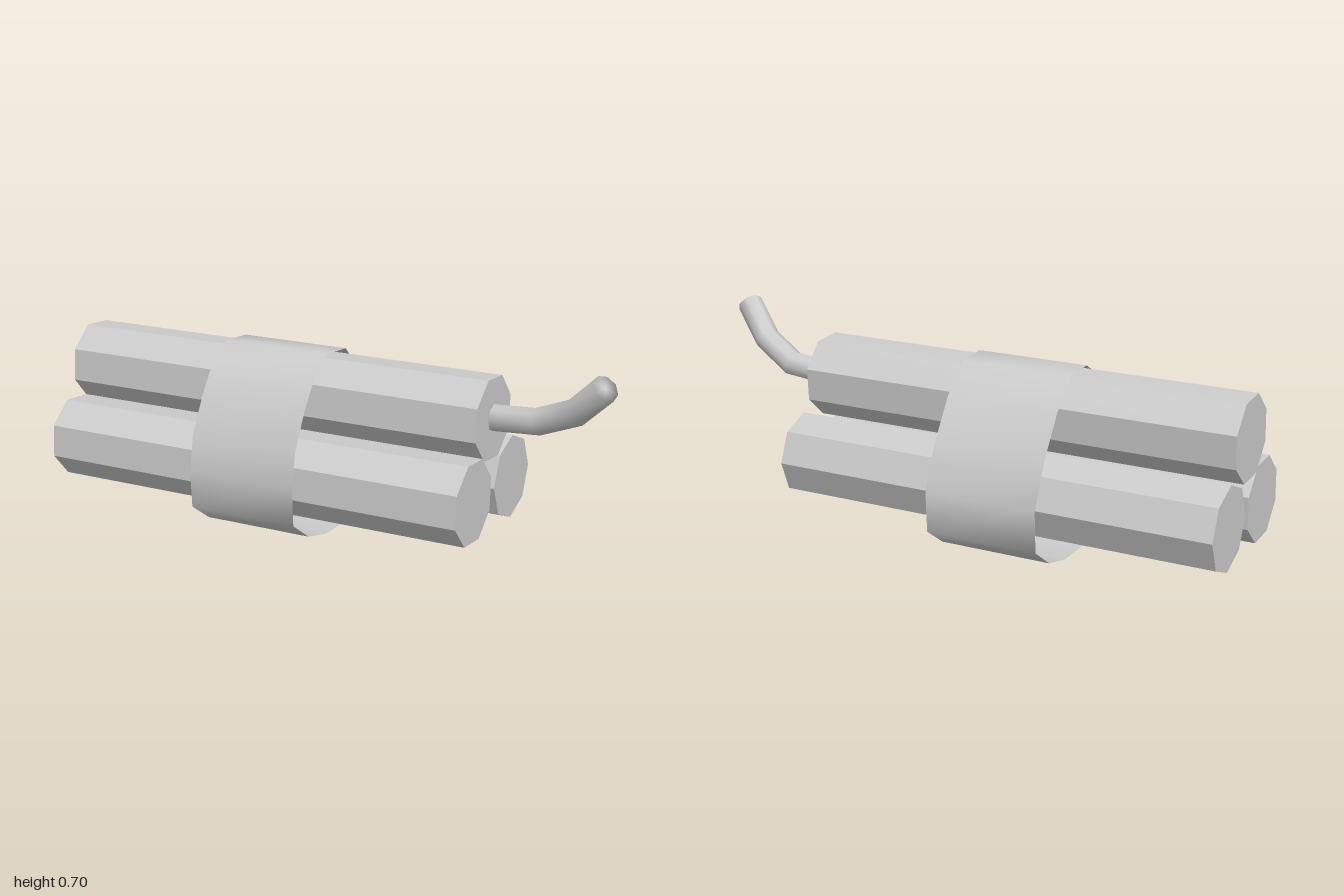
import * as THREE from 'three';
import { mergeGeometries, mergeVertices } from 'three/addons/utils/BufferGeometryUtils.js';

const grey = (opts = {}) => new THREE.MeshStandardMaterial({ color: 0xcccccc, ...opts });

// Octagonal stick lying along x; twist turns its corners in the z-y plane
function makeStick(name, y, z, twist) {
  const r = 0.144, x0 = -1, x1 = 0.56;
  const g = new THREE.CylinderGeometry(r, r, x1 - x0, 8, 1, false, -twist);
  g.rotateZ(-Math.PI / 2);
  const mesh = new THREE.Mesh(g, grey({ flatShading: true }));
  mesh.name = name;
  mesh.position.set((x0 + x1) / 2, y, z);
  return mesh;
}

// Thin open band: a strip whose rows follow a rounded triangle of [z, y] points,
// from the bottom up the back, over the top and down the front
function makeBand() {
  const loop = [
    [0, 0], [-0.08, 0], [-0.2, 0.03], [-0.3, 0.1], [-0.31, 0.24], [-0.25, 0.385],
    [-0.16, 0.525], [-0.06, 0.622], [0.06, 0.63], [0.15, 0.575], [0.22, 0.475],
    [0.285, 0.35], [0.308, 0.23], [0.3, 0.1], [0.2, 0.03], [0.08, 0], [0, 0],
  ];
  const g = new THREE.PlaneGeometry(0.396, 1, 1, loop.length - 1);
  const p = g.attributes.position;
  for (let i = 0; i < p.count; i++) {
    const [z, y] = loop[Math.floor(i / 2)];
    p.setXYZ(i, p.getX(i) - 0.22, y, z);
  }
  g.computeVertexNormals();
  const mesh = new THREE.Mesh(g, grey({ side: THREE.DoubleSide }));
  mesh.name = 'band';
  return mesh;
}

// Bent fuse with a closed tip, shaded smooth all over
function makeFuse() {
  const path = new THREE.CatmullRomCurve3([
    new THREE.Vector3(0.55, 0.482, 0.017),
    new THREE.Vector3(0.71, 0.493, 0.026),
    new THREE.Vector3(0.835, 0.542, 0.066),
    new THREE.Vector3(0.97, 0.663, 0.132),
  ]);
  const segments = 3, radius = 0.045;
  const tube = new THREE.TubeGeometry(path, segments, radius, 8);
  const { normals, binormals, tangents } = path.computeFrenetFrames(segments);
  const tip = new THREE.CircleGeometry(radius, 8);
  tip.applyMatrix4(new THREE.Matrix4()
    .makeBasis(normals[segments], binormals[segments], tangents[segments])
    .setPosition(path.getPointAt(1)));
  const joined = mergeGeometries([tube, tip]);
  joined.deleteAttribute('normal');
  joined.deleteAttribute('uv');
  const g = mergeVertices(joined);
  g.computeVertexNormals();
  const mesh = new THREE.Mesh(g, grey());
  mesh.name = 'fuse';
  return mesh;
}

export function createModel() {
  const group = new THREE.Group();
  group.name = 'stickBundle';
  group.add(
    makeStick('topStick', 0.481, 0.022, 0.462),
    makeStick('frontStick', 0.237, 0.162, 0.449),
    makeStick('backStick', 0.236, -0.143, 0),
    makeBand(),
    makeFuse(),
  );
  return group;
}
